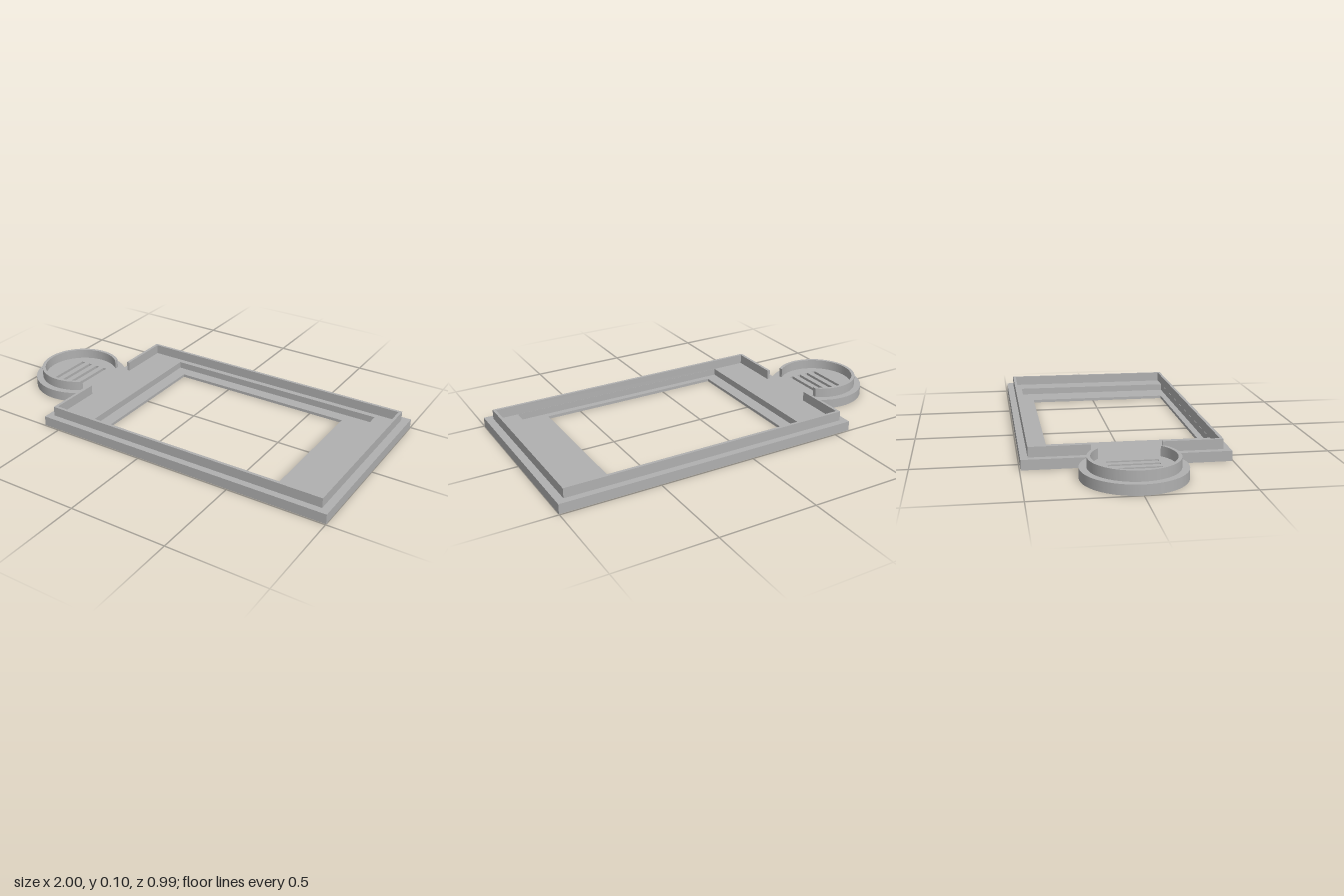
import * as THREE from 'three';
import { toCreasedNormals } from 'three/addons/utils/BufferGeometryUtils.js';

const PLATE_TOP = 0.05, RIM_TOP = 0.1, RECESS_FLOOR = 0.015;
const DISC_X = -0.753, DISC_R = 0.247, PLATE_LEFT = -0.59;

// Shapes are drawn in plan: shape x = model x, shape y = model z
const rectPath = (x0, x1, z0, z1) => new THREE.Path([
  [x0, z0], [x0, z1], [x1, z1], [x1, z0],
].map(([x, z]) => new THREE.Vector2(x, z)));

// Angle at which a circle around the disc centre meets the line x = cutX
const cutAngle = (r, cutX) => Math.acos((cutX - DISC_X) / r);

// Extrude a plan shape between two heights
function slab(name, shape, y0, y1, material) {
  const g = new THREE.ExtrudeGeometry(shape, { depth: y1 - y0, bevelEnabled: false, curveSegments: 72 });
  g.rotateX(Math.PI / 2).translate(0, y1, 0);
  const mesh = new THREE.Mesh(toCreasedNormals(g, 0.4), material);
  mesh.name = name;
  return mesh;
}

// Rectangular plate joined to the round tab, with vent slots and one opening
function plateShape(opening) {
  const a = cutAngle(DISC_R, PLATE_LEFT);
  const s = new THREE.Shape();
  s.moveTo(PLATE_LEFT, -0.495);
  s.lineTo(1, -0.495);
  s.lineTo(1, 0.495);
  s.lineTo(PLATE_LEFT, 0.495);
  s.lineTo(PLATE_LEFT, DISC_R * Math.sin(a));
  s.absarc(DISC_X, 0, DISC_R, a, 2 * Math.PI - a, false);
  s.closePath();
  s.holes.push(opening);
  for (let i = 0; i < 4; i++) {
    const x = -0.829 + i * 0.051;
    s.holes.push(rectPath(x - 0.01, x + 0.01, -0.115, 0.125));
  }
  return s;
}

// Thin raised wall around the plate, open toward the tab
function rimShape() {
  const ox0 = -0.556, ox1 = 0.961, oz = 0.46, ix0 = -0.541, ix1 = 0.947, iz = 0.445, gap = 0.168;
  return new THREE.Shape([
    [ox0, -gap], [ox0, -oz], [ox1, -oz], [ox1, oz], [ox0, oz], [ox0, gap],
    [ix0, gap], [ix0, iz], [ix1, iz], [ix1, -iz], [ix0, -iz], [ix0, -gap],
  ].map(([x, z]) => new THREE.Vector2(x, z)));
}

// Thin raised ring on the tab, cut straight where it faces the plate
function ringShape() {
  const R = 0.212, r = 0.195, cut = -0.623;
  const a = cutAngle(R, cut), b = cutAngle(r, cut);
  const s = new THREE.Shape();
  s.absarc(DISC_X, 0, R, a, 2 * Math.PI - a, false);
  s.absarc(DISC_X, 0, r, 2 * Math.PI - b, b, true);
  s.closePath();
  return s;
}

export function createModel() {
  const grey = new THREE.MeshStandardMaterial({ color: 0xb0b0b0 });
  grey.name = 'grey plastic';
  const model = new THREE.Group();
  model.name = 'displayBezel';

  const windowHole = rectPath(-0.295, 0.683, -0.353, 0.411);
  const recessHole = rectPath(-0.36, 0.835, -0.415, 0.444);
  model.add(
    slab('lowerPlate', plateShape(windowHole), 0, RECESS_FLOOR, grey),
    slab('upperPlate', plateShape(recessHole), RECESS_FLOOR, PLATE_TOP, grey),
    slab('plateRim', rimShape(), PLATE_TOP, RIM_TOP, grey),
    slab('tabRing', ringShape(), PLATE_TOP, RIM_TOP, grey),
  );
  return model;
}
